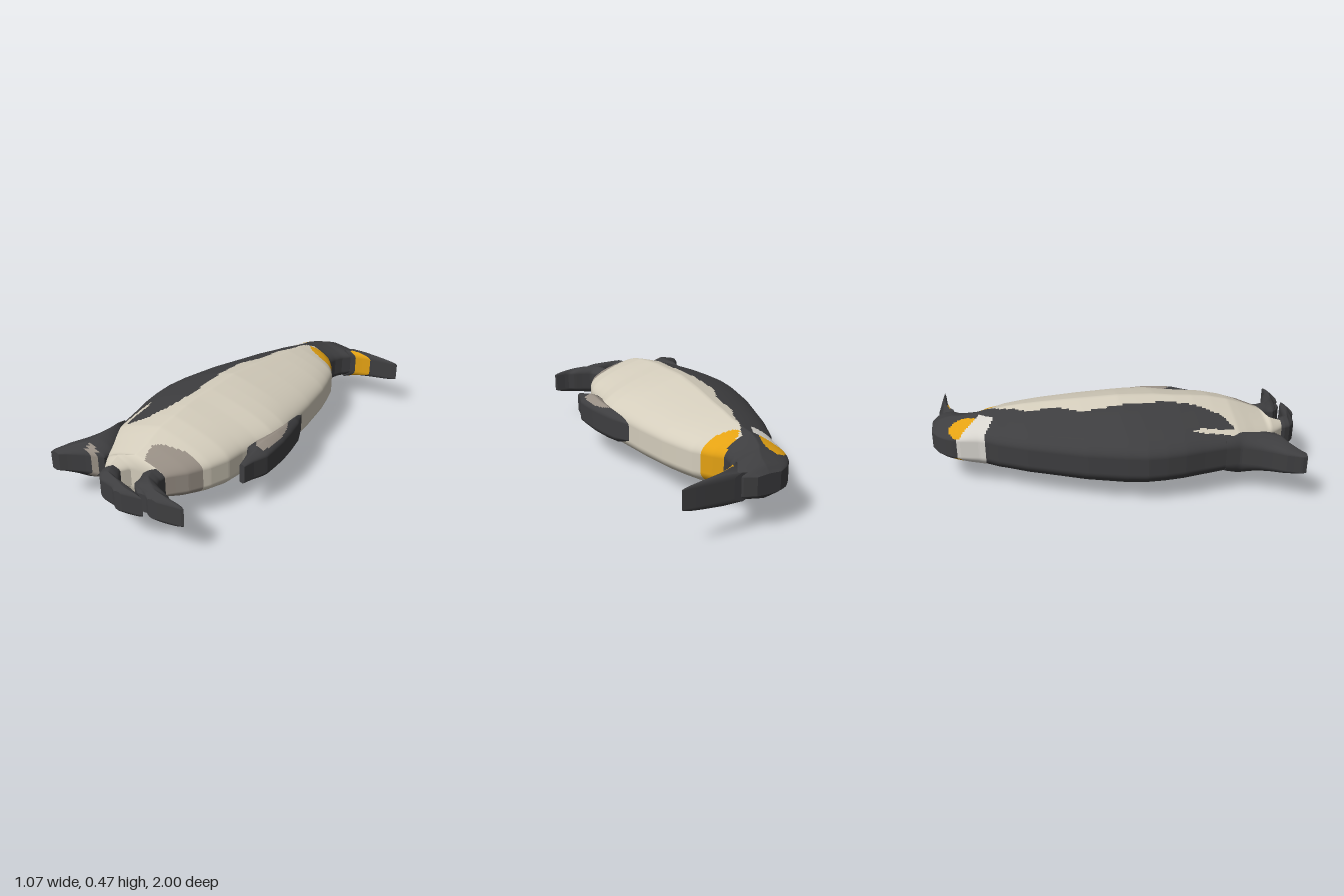
import * as THREE from 'three';

const MID = 0.235;   // height of the mirror plane
const RIM = 0.045;   // half height of the vertical rim
const E = 9;         // "as far as the edge"

const mat = (name, color) => new THREE.MeshStandardMaterial({ name, color });

// Linear lookup in rows sorted by their first value (z); null outside
function at(rows, z) {
  if (z < rows[0][0] || z > rows[rows.length - 1][0]) return null;
  let i = 1;
  while (i < rows.length - 1 && rows[i][0] < z) i++;
  const a = rows[i - 1], b = rows[i], t = (z - a[0]) / (b[0] - a[0]);
  return a.map((v, k) => v + (b[k] - v) * t);
}

// Double-sided relief: rows are [z, left x, right x, ridge half height].
// marks are [material index, rows of [z, from x, to x]]; the first match colours a face.
function relief(name, rows, materials, marks, nz, nx) {
  const pos = [], lists = materials.map(() => []);
  const z0 = rows[0][0], z1 = rows[rows.length - 1][0];
  const id = (i, j, s) => 2 * (i * (nx + 1) + j) + s;
  for (let i = 0; i <= nz; i++) {
    const z = Math.min(z1, z0 + (z1 - z0) * i / nz);
    const [, l, r, h] = at(rows, z);
    for (let j = 0; j <= nx; j++) {
      const t = -Math.cos(Math.PI * j / nx);
      const y = RIM + (h - RIM) * Math.sqrt(Math.max(0, 1 - Math.abs(t)));
      const x = (l + r) / 2 + t * (r - l) / 2;
      pos.push(x, MID + y, z, x, MID - y, z);
    }
  }
  const point = k => pos.slice(3 * k, 3 * k + 3);
  const colourAt = (p, q) => {
    const a = point(p), b = point(q), x = (a[0] + b[0]) / 2, z = (a[2] + b[2]) / 2;
    for (const [m, area] of marks) {
      const s = at(area, z);
      if (s && x >= s[1] && x <= s[2]) return m;
    }
    return 0;
  };
  const quad = (m, a, b, c, d) => lists[m].push(a, b, c, a, c, d);
  // Rim faces get their own corners so that the edge stays sharp
  const rimQuad = (m, ...corners) => {
    const n = pos.length / 3;
    corners.forEach(k => pos.push(...point(k)));
    quad(m, n, n + 1, n + 2, n + 3);
  };
  for (let i = 0; i < nz; i++) {
    for (let j = 0; j < nx; j++) {
      const m = colourAt(id(i, j, 0), id(i + 1, j + 1, 0));
      quad(m, id(i, j, 0), id(i + 1, j, 0), id(i + 1, j + 1, 0), id(i, j + 1, 0));
      quad(m, id(i, j, 1), id(i, j + 1, 1), id(i + 1, j + 1, 1), id(i + 1, j, 1));
      if (j === 0) rimQuad(m, id(i, 0, 1), id(i + 1, 0, 1), id(i + 1, 0, 0), id(i, 0, 0));
      if (j === nx - 1) rimQuad(m, id(i, nx, 1), id(i, nx, 0), id(i + 1, nx, 0), id(i + 1, nx, 1));
      if (i === 0) rimQuad(m, id(0, j, 1), id(0, j, 0), id(0, j + 1, 0), id(0, j + 1, 1));
      if (i === nz - 1) rimQuad(m, id(nz, j, 1), id(nz, j + 1, 1), id(nz, j + 1, 0), id(nz, j, 0));
    }
  }
  const g = new THREE.BufferGeometry();
  g.setAttribute('position', new THREE.Float32BufferAttribute(pos, 3));
  g.setIndex(lists.flat());
  let start = 0;
  lists.forEach((list, m) => { g.addGroup(start, list.length, m); start += list.length; });
  g.computeVertexNormals();
  const mesh = new THREE.Mesh(g, materials);
  mesh.name = name;
  return mesh;
}

export function createModel() {
  const group = new THREE.Group();
  group.name = 'penguinRelief';
  const cream = mat('belly cream', 0xd4cdbc), dark = mat('charcoal', 0x3e3e40);
  const orange = mat('orange', 0xe4a213), white = mat('neck white', 0xd8d5cf);
  const tan = mat('shaded feathers', 0x978e84);

  // Head, neck and body
  const bodyRows = [
    [-1, 0.05, 0.18, 0.05], [-0.97, -0.01, 0.24, 0.08], [-0.93, -0.05, 0.27, 0.1],
    [-0.89, -0.075, 0.26, 0.115], [-0.85, -0.09, 0.22, 0.125], [-0.8, -0.1, 0.195, 0.14],
    [-0.75, -0.11, 0.185, 0.15], [-0.7, -0.13, 0.22, 0.16], [-0.65, -0.165, 0.245, 0.168],
    [-0.6, -0.19, 0.275, 0.175], [-0.5, -0.24, 0.3, 0.19], [-0.4, -0.28, 0.32, 0.2],
    [-0.2, -0.36, 0.34, 0.22], [0, -0.415, 0.35, 0.235], [0.1, -0.435, 0.36, 0.233],
    [0.2, -0.435, 0.35, 0.23], [0.3, -0.425, 0.31, 0.224], [0.4, -0.405, 0.285, 0.217],
    [0.5, -0.39, 0.27, 0.205], [0.6, -0.375, 0.23, 0.185], [0.65, -0.345, 0.2, 0.168],
    [0.7, -0.31, 0.17, 0.15], [0.75, -0.28, 0.125, 0.13], [0.79, -0.255, 0.09, 0.115],
    [0.81, -0.245, -0.09, 0.105], [0.85, -0.22, -0.115, 0.09], [0.88, -0.2, -0.135, 0.08],
  ];
  const ear = [[-0.91, -0.03, 0], [-0.88, -0.075, 0.02], [-0.85, -0.085, 0.03],
    [-0.82, -0.05, 0.025], [-0.78, -0.02, 0.01], [-0.76, 0, 0]];
  const neckPatch = [[-0.87, -E, -0.085], [-0.83, -E, -0.055], [-0.78, -E, -0.015], [-0.74, -E, 0.02],
    [-0.72, -0.11, 0.01], [-0.69, -0.07, -0.01], [-0.67, -0.03, -0.02]];
  const throat = [[-0.745, 0.185, E], [-0.73, 0.1, E], [-0.7, 0.065, E], [-0.67, 0.09, E],
    [-0.65, 0.14, E], [-0.64, 0.2, E]];
  const hood = [[-1, -E, E], [-0.735, -E, E]];
  const sideStripe = [[0.33, -0.32, -0.32], [0.42, -0.335, -0.305], [0.5, -0.335, -0.31], [0.58, -0.34, -0.3]];
  const back = [[-0.735, -E, 0.08], [-0.7, -E, 0.06], [-0.64, -E, 0.03], [-0.56, -E, 0.01],
    [-0.5, -E, -0.03], [-0.32, -E, -0.055], [-0.2, -E, -0.12], [0.08, -E, -0.115],
    [0.24, -E, -0.11], [0.4, -E, -0.14], [0.53, -E, -0.21], [0.58, -E, -0.29]];
  const rump = [[0.58, -E, -0.34], [0.66, -E, -0.33], [0.7, -E, -0.305], [0.78, -E, -0.265]];
  const thigh = [[0.64, 0.1, E], [0.67, 0, E], [0.7, -0.04, E], [0.75, -0.04, E], [0.79, -0.02, E]];
  group.add(relief('body', bodyRows, [cream, dark, orange, white, tan],
    [[2, ear], [3, neckPatch], [2, throat], [1, hood], [0, sideStripe], [1, back], [1, rump], [4, thigh]], 200, 80));

  // Beak with an orange lower stripe
  group.add(relief('beak', [
    [-0.965, 0.19, 0.28, 0.07], [-0.952, 0.19, 0.47, 0.075], [-0.945, 0.19, 0.54, 0.075],
    [-0.937, 0.19, 0.5, 0.075], [-0.925, 0.19, 0.39, 0.08], [-0.91, 0.19, 0.32, 0.085], [-0.885, 0.19, 0.25, 0.09],
  ], [dark, orange], [[1, [[-0.922, 0.3, 0.39], [-0.91, 0.25, E], [-0.897, 0.25, E]]]], 24, 24));

  // Flipper on the belly side
  group.add(relief('flipper', [
    [-0.1, 0.325, 0.345, 0.05], [0, 0.33, 0.385, 0.08], [0.1, 0.325, 0.4, 0.09], [0.2, 0.31, 0.41, 0.095],
    [0.3, 0.285, 0.41, 0.095], [0.36, 0.28, 0.408, 0.09], [0.38, 0.305, 0.4, 0.085],
    [0.44, 0.32, 0.375, 0.07], [0.5, 0.33, 0.36, 0.055],
  ], [dark, tan], [[1, [[0.06, 0.34, 0.355], [0.12, -E, 0.38], [0.2, -E, 0.395], [0.28, -E, 0.395],
    [0.31, 0.31, 0.39], [0.36, 0.34, 0.38]]]], 48, 24));

  // Tail
  group.add(relief('tail', [
    [0.52, -0.388, -0.35, 0.09], [0.6, -0.385, -0.31, 0.12], [0.7, -0.43, -0.27, 0.115],
    [0.75, -0.46, -0.255, 0.11], [0.81, -0.5, -0.265, 0.1], [0.835, -0.51, -0.35, 0.085],
    [0.88, -0.53, -0.44, 0.065], [0.905, -0.53, -0.48, 0.055],
  ], [dark, tan], [[1, [[0.795, -0.35, -0.33], [0.81, -0.365, -0.305], [0.835, -0.36, -0.31]]]], 36, 24));

  // Feet, each an ankle, a sole and toes
  const feet = {
    rearFoot: [[0.85, -0.2, -0.125, 0.075], [0.9, -0.2, -0.09, 0.085], [0.93, -0.19, -0.07, 0.085],
      [0.95, -0.17, 0.03, 0.08], [0.965, -0.15, 0.08, 0.075], [0.98, -0.07, 0.11, 0.07], [1, -0.04, 0, 0.055]],
    frontFoot: [[0.775, -0.005, 0.095, 0.08], [0.82, -0.015, 0.09, 0.085], [0.86, 0, 0.105, 0.085],
      [0.885, 0, 0.16, 0.085], [0.9, 0, 0.2, 0.085], [0.925, 0.03, 0.24, 0.08],
      [0.935, 0.08, 0.32, 0.075], [0.945, 0.1, 0.31, 0.07], [0.965, 0.13, 0.18, 0.055]],
  };
  for (const [name, rows] of Object.entries(feet)) group.add(relief(name, rows, [dark], [], 30, 24));

  // Spare toe below the sole of the front foot
  group.add(relief('toe', [[0.9, 0.01, 0.05, 0.05], [0.92, 0.02, 0.09, 0.06], [0.95, 0.06, 0.12, 0.05]],
    [dark], [], 8, 10));
  return group;
}
